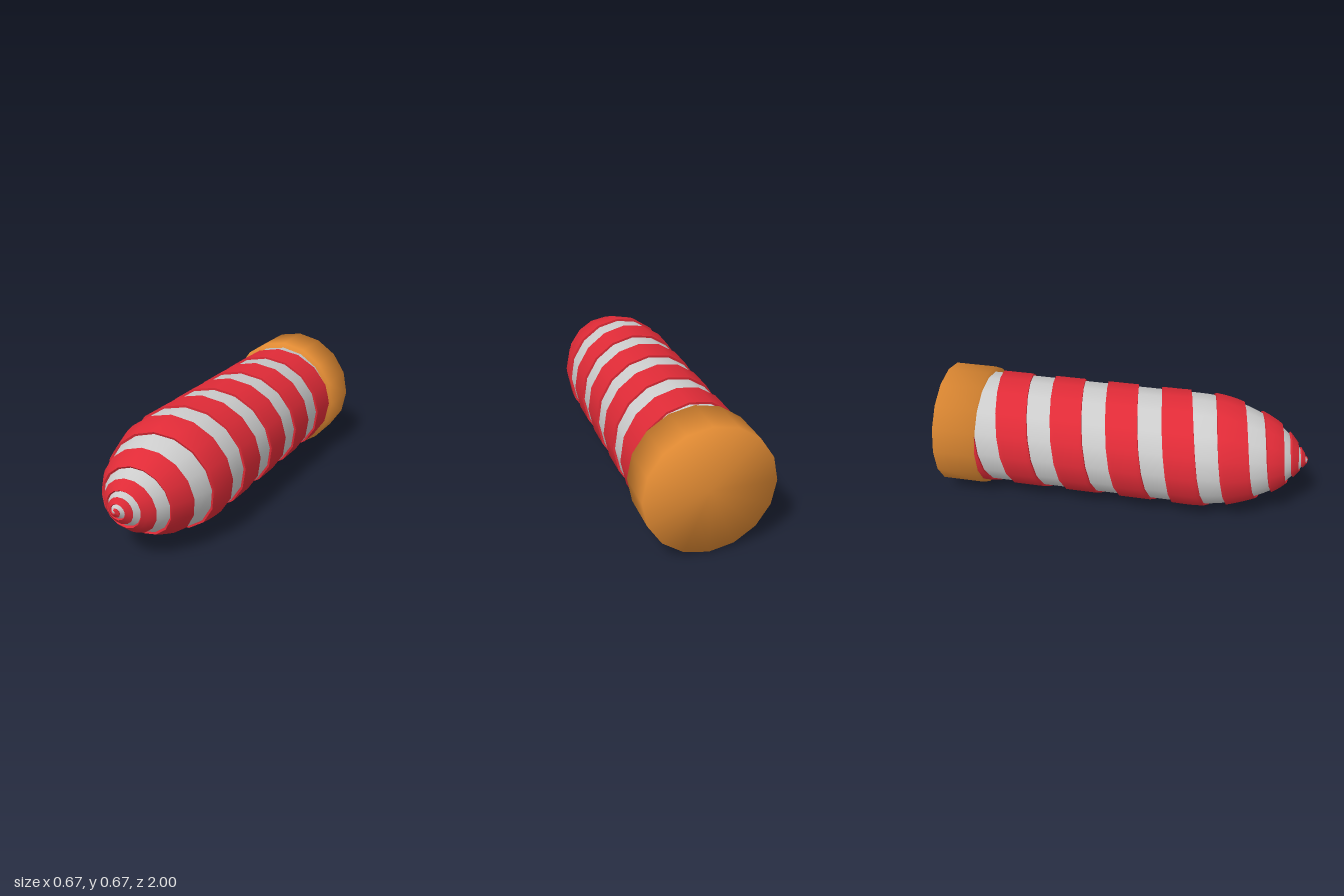
import * as THREE from 'three';
import { mergeVertices, toCreasedNormals } from 'three/addons/utils/BufferGeometryUtils.js';

const SIDES = 16;
const AXIS_Y = 0.334;
const BAND = 0.285; // half width of the spiral band, in turns

// Nose outline (radius, z), one point per half turn of the spiral
const nose = new THREE.SplineCurve([
  [0.315, 0.285], [0.315, 0.432], [0.298, 0.57], [0.254, 0.705], [0.205, 0.81], [0.155, 0.88],
  [0.108, 0.925], [0.075, 0.952], [0.048, 0.972], [0.026, 0.988], [0.008, 1.0],
].map(([r, z]) => new THREE.Vector2(r, z)));

// Point on the outer skin at turn u, sunk by a depth along the normal
function skin(u, depth = 0) {
  if (u <= -1) return new THREE.Vector2(0.315 - depth, 0.285 + 0.3 * (u + 1));
  const t = Math.min((u + 1) / 5, 1);
  const p = nose.getPoint(t);
  const tan = nose.getTangent(t);
  p.x = Math.max(p.x - tan.y * depth, 0);
  p.y += tan.x * depth;
  return p;
}

// The ridge gets thinner towards the tip
const ridge = (u) => 0.012 - 0.007 * THREE.MathUtils.smoothstep(u, 1.5, 4);

function bodyGeometry() {
  const points = [new THREE.Vector2(0, -0.9), new THREE.Vector2(0.304, -0.9)];
  for (let u = -1; u <= 4; u += 0.25) points.push(skin(u, ridge(u)));
  points.push(new THREE.Vector2(0, 0.996));
  const g = new THREE.LatheGeometry(points, SIDES);
  g.rotateX(Math.PI / 2);
  return g;
}

// Raised band swept along the helix, following the outline
function bandGeometry() {
  const first = -79, last = 64, across = 8;
  const row = across + 3;
  const pos = [], index = [];
  for (let i = first; i <= last; i++) {
    const u = i / SIDES;
    const angle = -2 * Math.PI * u;
    const section = [skin(u - BAND, ridge(u) * 1.5)];
    for (let j = 0; j <= across; j++) section.push(skin(u - BAND + (2 * BAND * j) / across));
    section.push(skin(u + BAND, ridge(u) * 1.5));
    for (const p of section) pos.push(p.x * Math.sin(angle), p.x * Math.cos(angle), p.y);
    if (i === last) break;
    for (let j = 0; j < row - 1; j++) {
      const a = (i - first) * row + j, b = a + row;
      index.push(a, b, a + 1, b, b + 1, a + 1);
    }
  }
  const g = new THREE.BufferGeometry();
  g.setAttribute('position', new THREE.Float32BufferAttribute(pos, 3));
  g.setIndex(index);
  return toCreasedNormals(g, 0.8);
}

// Closed end cap, shaded smoothly over its rim
function capGeometry() {
  let g = new THREE.CylinderGeometry(0.333, 0.333, 0.23, SIDES);
  g.deleteAttribute('normal');
  g.deleteAttribute('uv');
  g = mergeVertices(g);
  g.computeVertexNormals();
  g.rotateX(Math.PI / 2);
  g.translate(0, 0, -0.885);
  return g;
}

export function createModel() {
  const group = new THREE.Group();
  const add = (name, geometry, color, side = THREE.FrontSide) => {
    const mesh = new THREE.Mesh(geometry, new THREE.MeshStandardMaterial({ color, side }));
    mesh.name = name;
    mesh.position.y = AXIS_Y;
    group.add(mesh);
  };
  add('body', bodyGeometry(), 0xcccccc);
  add('spiralBand', bandGeometry(), 0xe02b37, THREE.DoubleSide);
  add('endCap', capGeometry(), 0xe08a33);
  return group;
}
